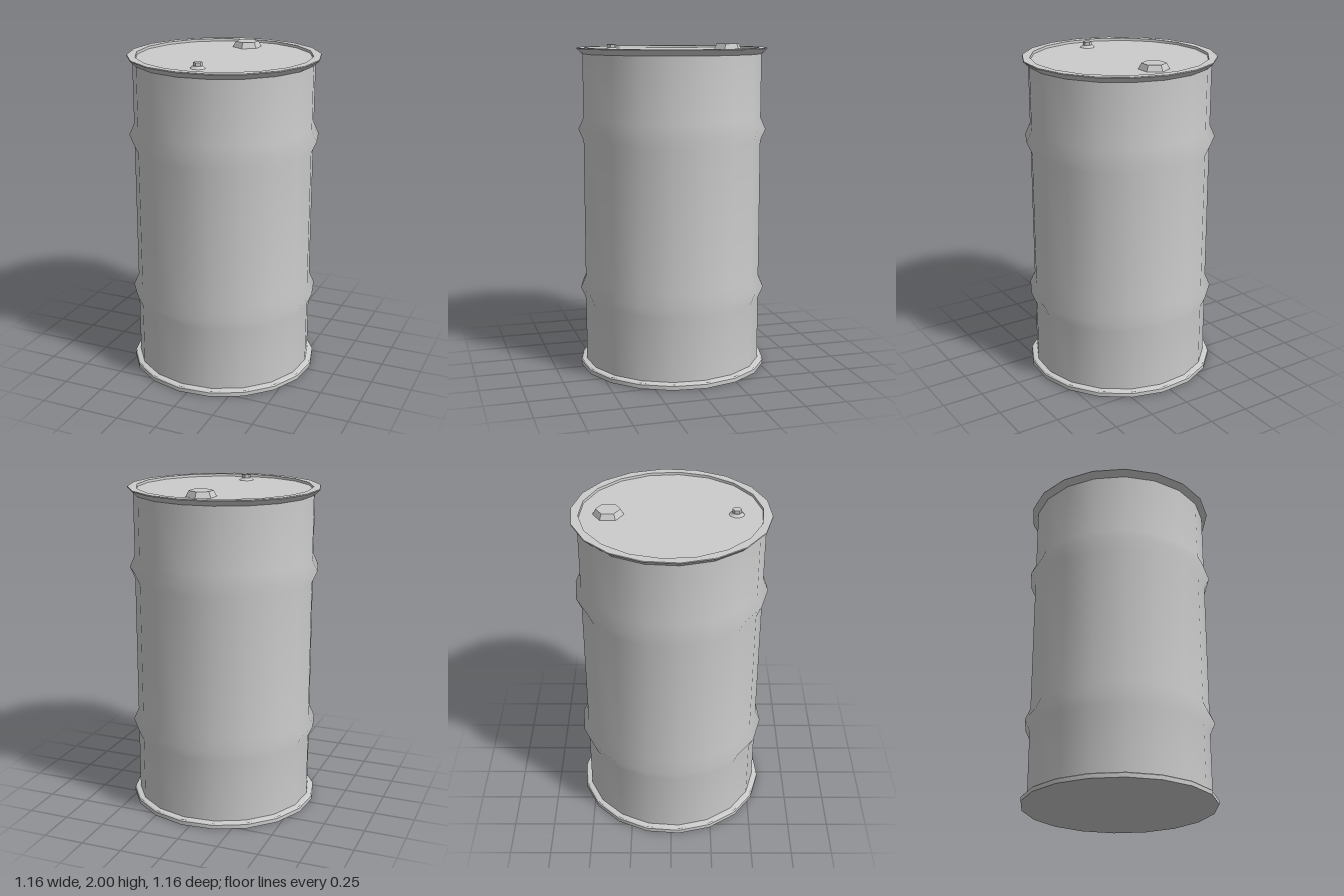
import * as THREE from 'three';
import { toCreasedNormals } from 'three/addons/utils/BufferGeometryUtils.js';

const SIDES = 18;
const START = THREE.MathUtils.degToRad(15);
const TWIST = THREE.MathUtils.degToRad(-10);

export function createModel() {
  const drum = new THREE.Group();
  drum.name = 'drum';
  const material = new THREE.MeshStandardMaterial({ color: 0xcccccc });

  const add = (name, geometry, x = 0, y = 0, z = 0) => {
    const mesh = new THREE.Mesh(geometry, material);
    mesh.name = name;
    mesh.position.set(x, y, z);
    drum.add(mesh);
  };

  // Turned shape from [radius, height] pairs, listed from bottom to top;
  // a third value of 1 turns that ring by half a side
  const turned = (profile) => {
    const points = profile.map(([r, y]) => new THREE.Vector2(r, y));
    const geometry = new THREE.LatheGeometry(points, SIDES, START);
    const pos = geometry.attributes.position;
    const v = new THREE.Vector3();
    const up = new THREE.Vector3(0, 1, 0);
    for (let i = 0; i < pos.count; i++) {
      if (!profile[i % profile.length][2]) continue;
      v.fromBufferAttribute(pos, i).applyAxisAngle(up, TWIST);
      pos.setXYZ(i, v.x, v.y, v.z);
    }
    return geometry;
  };
  const creased = (geometry) => toCreasedNormals(geometry, 0.55);

  // Smooth wall with two raised hoops
  const wall = [[0.547, 0.03]];
  for (const y of [0.5, 1.49]) {
    wall.push([0.547, y - 0.07], [0.578, y], [0.547, y + 0.07]);
  }
  wall.push([0.547, 1.95]);
  add('wall', turned(wall));

  // Base with its flange
  add('base', creased(turned([
    [0, 0], [0.582, 0], [0.582, 0.025], [0.575, 0.032], [0.547, 0.037],
  ])));

  // Flared top rim, stepping down to the recessed lid
  add('topRim', creased(turned([
    [0.547, 1.943], [0.555, 1.95], [0.582, 1.975], [0.58, 1.98],
    [0.532, 1.98, 1], [0.53, 1.965, 1],
  ])));
  add('lid', creased(turned([[0.53, 1.965, 1], [0, 1.965, 1]])));

  // Large hexagonal plug near the back
  add('largePlug', creased(new THREE.CylinderGeometry(0.072, 0.09, 0.035, 6)), 0, 1.9825, -0.36);

  // Small plug near the front: tapered collar and hexagonal head
  add('smallPlugCollar', creased(new THREE.CylinderGeometry(0.03, 0.045, 0.015, 10)), 0, 1.9725, 0.375);
  add('smallPlugHead', creased(new THREE.CylinderGeometry(0.027, 0.027, 0.02, 6)), 0, 1.99, 0.375);

  return drum;
}
